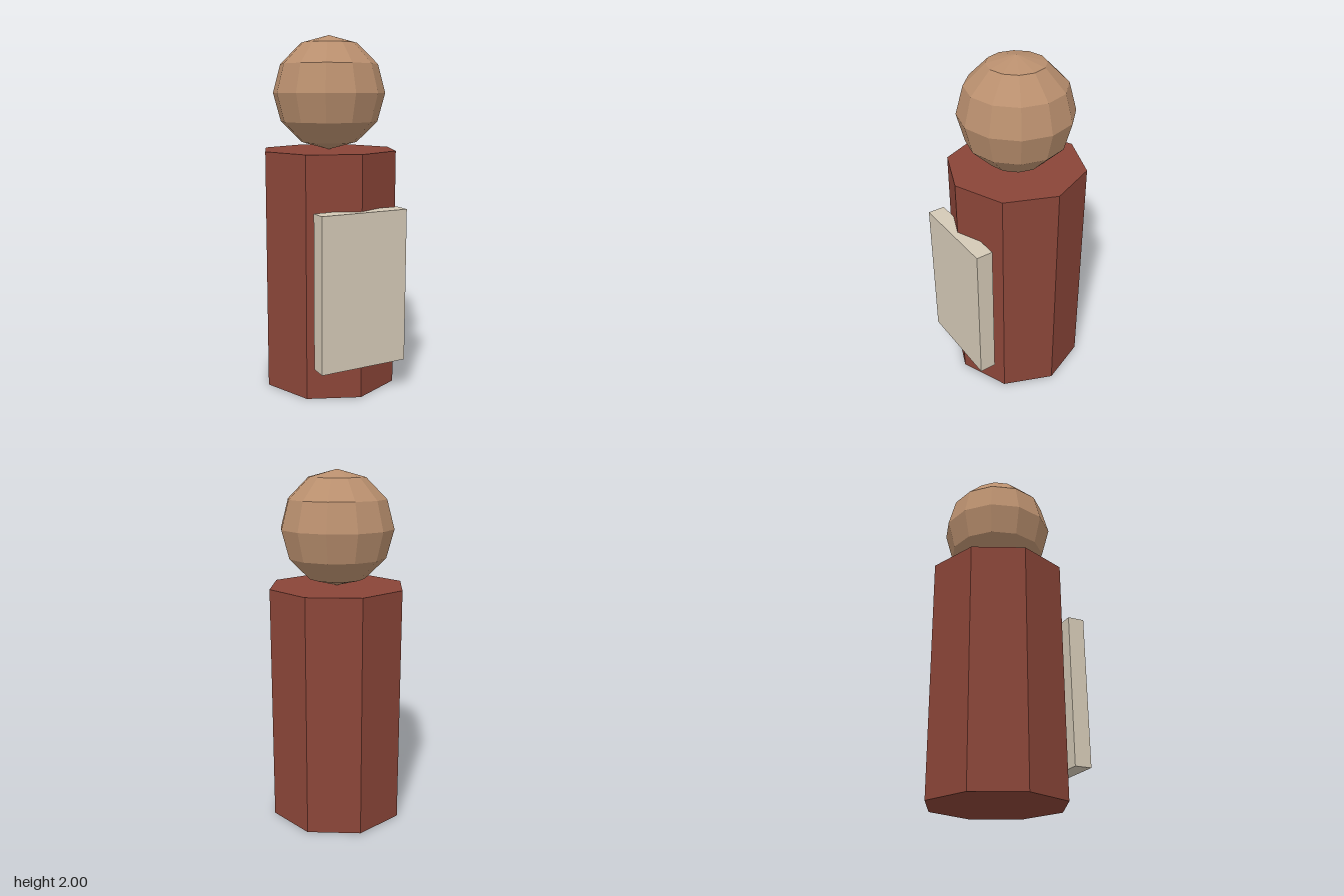
import * as THREE from 'three';

export function createModel() {
  const group = new THREE.Group();
  const material = (name, color) => {
    const m = new THREE.MeshStandardMaterial({ color, flatShading: true });
    m.name = name;
    return m;
  };
  const add = (name, geometry, mat, x, y, z) => {
    const mesh = new THREE.Mesh(geometry, mat);
    mesh.name = name;
    mesh.position.set(x, y, z);
    group.add(mesh);
  };

  const bodyRed = material('brick red', 0x8a4538);
  const skin = material('tan skin', 0xb98f6e);
  const cream = material('cream', 0xd4c9b6);

  // Octagonal body with one corner facing forward
  add('body', new THREE.CylinderGeometry(0.394, 0.394, 1.36, 8), bodyRed, 0, 0.68, -0.02);
  // Faceted round head resting on the body
  add('head', new THREE.SphereGeometry(0.32, 12, 6), skin, 0, 1.68, -0.02);
  // Flat panel across the chest
  add('frontPanel', new THREE.BoxGeometry(0.518, 0.864, 0.097), cream, 0, 0.622, 0.3625);

  return group;
}
